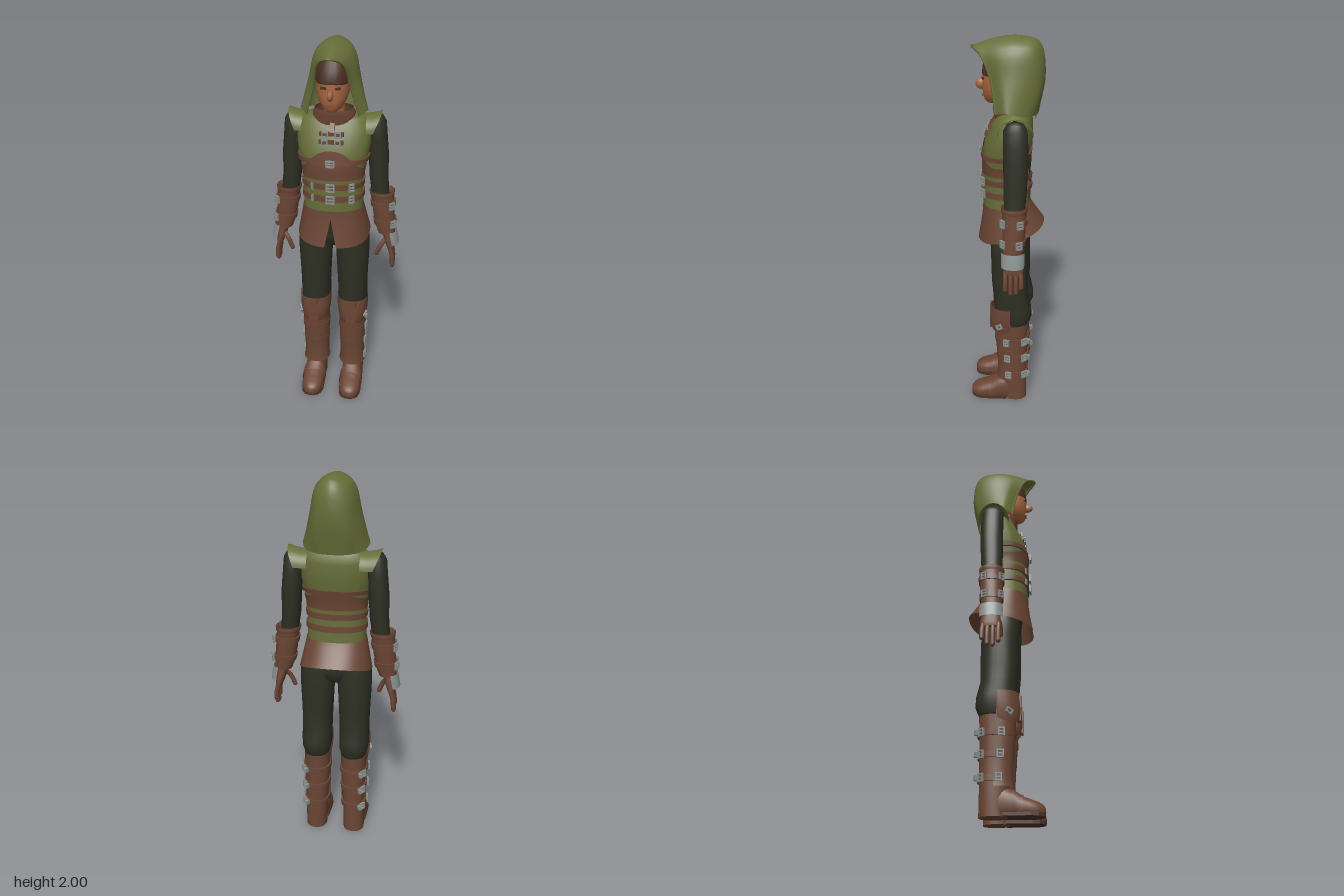
import * as THREE from 'three';

const mat = (name, color) => {
  const m = new THREE.MeshStandardMaterial({ color, side: THREE.DoubleSide });
  m.name = name;
  return m;
};
const V = (x, y, z) => new THREE.Vector3(x, y, z);
const TAU = Math.PI * 2;

// smooth surface through rows of points; wrap joins each row into a ring
function grid(rows, wrap) {
  const n = rows[0].length, pos = [], idx = [];
  rows.forEach(r => r.forEach(p => pos.push(p.x, p.y, p.z)));
  for (let i = 0; i < rows.length - 1; i++)
    for (let j = 0; j < (wrap ? n : n - 1); j++) {
      const k = (j + 1) % n, a = i * n + j, b = i * n + k, c = a + n, d = b + n;
      idx.push(a, c, b, b, c, d);
    }
  const g = new THREE.BufferGeometry();
  g.setAttribute('position', new THREE.Float32BufferAttribute(pos, 3));
  g.setIndex(idx);
  g.computeVertexNormals();
  return g;
}

// sections are [y, cx, cz, rx, rz]; angle 0 faces +z, a quarter turn faces +x
const sq = v => Math.sign(v) * Math.pow(Math.abs(v), 0.86);
const onRing = ([y, cx, cz, rx, rz], a, o = 0) =>
  V(cx + (rx + o) * sq(Math.sin(a)), y, cz + (rz + o) * sq(Math.cos(a)));
const ring = (s, o = 0, a0 = 0, a1 = TAU, n = 28) => {
  const full = a1 - a0 > 6.28;
  return Array.from({ length: full ? n : n + 1 }, (_, i) => onRing(s, a0 + (a1 - a0) * i / n, o));
};
const capRows = (s, o = 0) => [ring(s, o), ring(s, o).map(() => V(s[1], s[0], s[2]))];
const loft = (secs, endCap) => grid([...secs.map(s => ring(s)), ...(endCap ? capRows(secs.at(-1)) : [])], true);
const shell = (secs, a0, a1, o = 0) => grid(secs.map(s => ring(s, o, a0, a1)), false);
// section at height y, sections listed from top to bottom
function at(secs, y) {
  let i = 0;
  while (i < secs.length - 2 && secs[i + 1][0] > y) i++;
  const t = (y - secs[i][0]) / (secs[i + 1][0] - secs[i][0]);
  return secs[i].map((v, k) => v + (secs[i + 1][k] - v) * t);
}
// raised strap round a loft
function strap(secs, y, h, o) {
  const r = (dy, off) => ring(at(secs, y + dy), off);
  return grid([r(h / 2, 0), r(h / 2, o), r(h / 2, o), r(-h / 2, o), r(-h / 2, o), r(-h / 2, 0)], true);
}
// rectangular buckle frame
function frame(w, h, t = 0.007) {
  const rect = (C, a, b) => new C([V(-a, -b), V(a, -b), V(a, b), V(-a, b)].map(p => new THREE.Vector2(p.x, p.y)));
  const s = rect(THREE.Shape, w / 2, h / 2);
  s.holes.push(rect(THREE.Path, w / 2 - t, h / 2 - t));
  return new THREE.ExtrudeGeometry(s, { depth: 0.01, bevelEnabled: false });
}

export function createModel() {
  const green = mat('green cloth', 0x666d38), brown = mat('brown leather', 0x6a4534),
    dark = mat('dark cloth', 0x2d2f23), steel = mat('steel', 0x87918f), skin = mat('skin', 0xa5643f),
    hairM = mat('hair', 0x4a2f24), sole = mat('dark leather', 0x4d3226), lipM = mat('lips', 0x8a4a38);
  const root = new THREE.Group();
  const add = (name, geo, m, parent = root) => {
    const o = new THREE.Mesh(geo, m);
    o.name = name;
    parent.add(o);
    return o;
  };
  const put = (o, x, y, z, ry = 0, rz = 0) => { o.position.set(x, y, z); o.rotation.set(0, ry, rz); return o; };
  const buckle = (secs, y, a, w, h, o, parent = root) => {
    const p = onRing(at(secs, y), a, o);
    put(add('buckle', frame(w, h), steel, parent), p.x, p.y, p.z, a);
    const prong = add('bucklePin', new THREE.BoxGeometry(w * 0.9, 0.006, 0.008), steel, parent);
    put(prong, p.x + Math.sin(a) * 0.006, p.y, p.z + Math.cos(a) * 0.006, a);
  };

  // vest
  const torso = [[1.65, 0, -0.03, 0.095, 0.065], [1.625, 0, -0.03, 0.16, 0.085], [1.58, 0, -0.025, 0.187, 0.1],
    [1.5, 0, -0.005, 0.184, 0.12], [1.42, 0, 0.008, 0.17, 0.119], [1.36, 0, 0.013, 0.155, 0.113],
    [1.28, 0, 0.012, 0.15, 0.112], [1.2, 0, 0.01, 0.152, 0.115], [1.14, 0, 0.008, 0.155, 0.118]];
  add('vest', loft(torso, true), green);

  // brown corset, peaked at the front
  const corset = [0, 0.34, 0.67, 1].map(t => Array.from({ length: 48 }, (_, i) => {
    const a = TAU * i / 48, c = Math.cos(a);
    const top = c > 0 ? 1.385 + 0.105 * c ** 4 : 1.385 + 0.04 * c * c;
    return onRing(at(torso, top + (1.335 - top) * t), a, 0.005);
  }));
  add('corset', grid(corset, true), brown);
  for (const y of [1.3, 1.235]) {
    add('belt', strap(torso, y, 0.03, 0.009), brown);
    for (const a of [0, 0.62]) buckle(torso, y, a, a ? 0.03 : 0.045, 0.042, 0.01);
    const p = onRing(at(torso, y), -0.55, 0.012);
    put(add('beltStud', new THREE.BoxGeometry(0.012, 0.034, 0.008), steel), p.x, p.y, p.z, -0.55);
  }
  add('corsetStrap', strap(torso, 1.43, 0.024, 0.009), brown).scale.set(1, 1, 1);
  buckle(torso, 1.43, 0, 0.045, 0.036, 0.012);
  // chest clasp and collar placket
  for (const y of [1.565, 1.53]) {
    const z = onRing(at(torso, y), 0, 0.006).z;
    put(add('chestStrap', new THREE.BoxGeometry(0.12, 0.018, 0.02), brown), 0, y, z - 0.004);
    for (const s of [-1, 1]) put(add('chestBuckle', frame(0.032, 0.032), steel), 0.032 * s, y, z + 0.004);
  }
  put(add('placket', new THREE.BoxGeometry(0.022, 0.09, 0.012), brown), 0, 1.61, 0.064).rotation.x = -0.5;

  // leather skirt, split at the front
  const skirt = Array.from({ length: 6 }, (_, i) => {
    const t = i / 5, gap = 0.16 * Math.max(0, t - 0.25);
    return Array.from({ length: 49 }, (_, j) => {
      const a = gap + (TAU - 2 * gap) * j / 48, k = (1 - Math.cos(a)) / 2;
      const end = 0.968 + 0.085 * k ** 1.5;
      return onRing([1.165 + (end - 1.165) * t, 0, 0.008 - 0.026 * t, 0.156 + 0.034 * t, 0.119 + 0.053 * t ** 1.2], a);
    });
  });
  add('skirt', grid(skirt, false), brown);

  // trouser seat
  add('trouserSeat', loft([[1.13, 0, 0, 0.145, 0.105], [1.0, 0, -0.012, 0.15, 0.1], [0.95, 0, -0.015, 0.09, 0.085],
    [0.92, 0, -0.015, 0.03, 0.05]], true), dark);

  // head
  add('neck', loft([[1.72, 0, 0, 0.05, 0.055], [1.6, 0, -0.02, 0.055, 0.055]]), skin);
  add('collar', loft([[1.675, 0, 0, 0.095, 0.072], [1.65, 0, -0.005, 0.105, 0.078], [1.6, 0, -0.015, 0.11, 0.08]]), brown);
  add('face', loft([[1.84, 0, 0.018, 0.078, 0.106], [1.8, 0, 0.022, 0.08, 0.103], [1.76, 0, 0.028, 0.078, 0.098],
    [1.725, 0, 0.035, 0.066, 0.088], [1.695, 0, 0.045, 0.047, 0.07], [1.678, 0, 0.055, 0.025, 0.045]], true), skin);
  add('hair', loft([[1.955, 0, -0.01, 0.01, 0.015], [1.945, 0, -0.005, 0.04, 0.055], [1.92, 0, 0.005, 0.066, 0.09],
    [1.88, 0, 0.012, 0.081, 0.108], [1.825, 0, 0.014, 0.085, 0.113], [1.815, 0, 0.014, 0.082, 0.109]]), hairM);
  const nose = add('nose', new THREE.SphereGeometry(1, 14, 10), skin);
  nose.scale.set(0.015, 0.026, 0.028);
  put(nose, 0, 1.768, 0.133).rotation.x = -0.35;
  put(add('mouth', new THREE.BoxGeometry(0.042, 0.009, 0.008), lipM), 0, 1.716, 0.121);
  for (const s of [-1, 1]) put(add('eye', new THREE.BoxGeometry(0.028, 0.011, 0.008), hairM), 0.034 * s, 1.801, 0.119, 0.3 * s);

  // hood: guide rows from the rim to the nape, each from crest down to hem
  const guides = [
    [[0, 1.95, 0.176], [0.06, 1.915, 0.125], [0.088, 1.8, 0.075], [0.13, 1.65, 0.05]],
    [[0, 1.992, 0.05], [0.08, 1.945, 0.04], [0.12, 1.81, 0.025], [0.166, 1.665, 0.0]],
    [[0, 2.0, -0.06], [0.085, 1.955, -0.05], [0.126, 1.81, -0.045], [0.158, 1.65, -0.05]],
    [[0, 1.975, -0.15], [0.07, 1.935, -0.135], [0.108, 1.8, -0.115], [0.13, 1.64, -0.1]],
    [[0, 1.83, -0.182], [0.05, 1.81, -0.172], [0.085, 1.74, -0.15], [0.1, 1.637, -0.122]],
    [[0, 1.635, -0.152], [0.025, 1.635, -0.15], [0.05, 1.635, -0.146], [0.075, 1.635, -0.137]],
  ].map(half => {
    const r = half.map(p => V(...p)), l = r.slice(1).map(p => V(-p.x, p.y, p.z)).reverse();
    return new THREE.CatmullRomCurve3([...l, ...r]).getPoints(30);
  });
  const cols = guides[0].map((_, j) => new THREE.CatmullRomCurve3(guides.map(g => g[j])).getPoints(25));
  add('hood', grid(cols, false), green);
  add('hoodRim', new THREE.TubeGeometry(new THREE.CatmullRomCurve3(guides[0]), 50, 0.006, 6), green);

  // limbs: built for the left, mirrored for the right
  const left = new THREE.Group();
  left.name = 'leftLimbs';

  // shoulder wing
  const wing = [0, 0.35, 0.7, 1].map(t => Array.from({ length: 17 }, (_, i) => {
    const f = -1.5 + 3 * i / 16, c = Math.cos(f);
    return V(0.13 + t * (0.062 + 0.043 * c), 1.55 + (0.08 + 0.02 * t * t) * c, -0.048 + 0.086 * Math.sin(f));
  }));
  add('shoulderWing', grid(wing, false), green, left);

  // sleeve and gauntlet
  add('sleeve', loft([[1.635, 0.2, -0.05, 0.01, 0.015], [1.625, 0.205, -0.05, 0.032, 0.042], [1.595, 0.21, -0.05, 0.045, 0.058],
    [1.52, 0.214, -0.053, 0.048, 0.06], [1.42, 0.221, -0.054, 0.051, 0.06], [1.3, 0.226, -0.052, 0.048, 0.057],
    [1.18, 0.24, -0.05, 0.044, 0.05]]), dark, left);
  const cuff = [[1.2, 0.247, -0.05, 0.058, 0.06], [1.1, 0.258, -0.049, 0.056, 0.057], [1.02, 0.27, -0.047, 0.051, 0.052],
    [0.985, 0.277, -0.046, 0.045, 0.05]];
  add('gauntlet', loft([[1.2, 0.245, -0.05, 0.045, 0.05], [1.228, 0.244, -0.05, 0.06, 0.06],
    [1.222, 0.245, -0.05, 0.066, 0.065], [1.2, 0.247, -0.05, 0.062, 0.063], ...cuff], true), brown, left);
  for (const y of [1.155, 1.05]) {
    add('gauntletStrap', strap(cuff, y, 0.03, 0.007), brown, left);
    for (const a of [0.75, 2.0]) buckle(cuff, y, a, 0.032, 0.04, 0.008, left);
  }
  const guard = [[1.0, 0.28, -0.047, 0.045, 0.055], [0.965, 0.287, -0.047, 0.046, 0.056], [0.925, 0.296, -0.047, 0.044, 0.055]];
  add('handGuard', shell(guard, 0.25, Math.PI - 0.25, 0.004), steel, left);
  // hand
  add('palm', loft([[1.0, 0.28, -0.046, 0.03, 0.04], [0.95, 0.288, -0.047, 0.026, 0.047], [0.9, 0.3, -0.05, 0.02, 0.05],
    [0.88, 0.303, -0.05, 0.014, 0.046]], true), brown, left);
  const finger = (name, pts, r) => {
    const curve = new THREE.CatmullRomCurve3(pts);
    add(name, new THREE.TubeGeometry(curve, 8, r, 8), brown, left);
    add(name + 'Tip', new THREE.SphereGeometry(r, 8, 6), brown, left).position.copy(pts.at(-1));
  };
  [[-0.09, 0.815], [-0.064, 0.785], [-0.037, 0.78], [-0.01, 0.8]].forEach(([z, y]) =>
    finger('finger', [V(0.3, 0.9, z * 0.95), V(0.312, 0.85, z), V(0.315, y, z)], 0.012));
  finger('thumb', [V(0.28, 0.955, -0.025), V(0.25, 0.915, -0.008), V(0.23, 0.868, -0.005)], 0.013);

  // trouser leg
  add('trouserLeg', loft([[1.1, 0.085, -0.01, 0.075, 0.09], [1.0, 0.097, -0.014, 0.09, 0.098], [0.9, 0.1, -0.016, 0.09, 0.097],
    [0.75, 0.101, -0.019, 0.083, 0.097], [0.66, 0.102, -0.022, 0.08, 0.092], [0.58, 0.103, -0.034, 0.081, 0.1],
    [0.53, 0.103, -0.037, 0.079, 0.1], [0.485, 0.102, -0.035, 0.068, 0.083]], true), dark, left);

  // boot
  const boot = [[0.48, 0.104, -0.03, 0.07, 0.088], [0.4, 0.103, -0.03, 0.068, 0.085], [0.3, 0.103, -0.034, 0.064, 0.08],
    [0.2, 0.104, -0.039, 0.061, 0.075], [0.12, 0.107, -0.043, 0.06, 0.07], [0.03, 0.108, -0.046, 0.058, 0.068],
    [0, 0.108, -0.046, 0.058, 0.068]];
  add('bootShaft', loft(boot, true), brown, left);
  add('shinPlate', shell([[0.5, 0.104, -0.025, 0.072, 0.086], [0.4, 0.103, -0.028, 0.071, 0.086], [0.28, 0.103, -0.033, 0.067, 0.081],
    [0.18, 0.104, -0.036, 0.066, 0.079], [0.135, 0.104, -0.036, 0.072, 0.086]], -1.6, 1.6, 0.003), brown, left);
  add('kneeGuard', shell([[0.595, 0.104, -0.02, 0.084, 0.098], [0.54, 0.104, -0.02, 0.085, 0.106],
    [0.49, 0.104, -0.022, 0.08, 0.112], [0.445, 0.104, -0.022, 0.072, 0.098]], -1.6, 1.6), brown, left);
  put(add('kneeRidge', new THREE.BoxGeometry(0.05, 0.14, 0.008), brown, left), 0.104, 0.525, 0.084);
  const kb = put(add('kneeBuckle', frame(0.035, 0.028), steel, left), 0.178, 0.49, 0.032, 1.05);
  kb.rotation.z = 0.5;
  for (const y of [0.39, 0.285, 0.175]) {
    add('bootStrap', strap(boot, y, 0.028, 0.009), brown, left);
    buckle(boot, y, 1.35, 0.034, 0.04, 0.01, left);
    buckle(boot, y, 2.3, 0.034, 0.04, 0.01, left);
    const p = onRing(at(boot, y), 2.6, 0.014);
    put(add('strapTail', new THREE.BoxGeometry(0.018, 0.024, 0.034), steel, left), p.x, p.y, p.z, 2.6);
  }
  // foot: cross-sections [z, half width, top] from ankle to toe
  const foot = [[-0.05, 0.055, 0.15], [0.0, 0.057, 0.145], [0.04, 0.058, 0.128], [0.08, 0.06, 0.1], [0.13, 0.06, 0.082],
    [0.165, 0.052, 0.07], [0.187, 0.036, 0.056], [0.196, 0.015, 0.042]];
  const footRing = ([z, w, h], o = 0) => Array.from({ length: 24 }, (_, i) => {
    const a = TAU * i / 24;
    return V(0.108 + (w + o) * sq(Math.cos(a)), Math.max(0.004, h * 0.42 + (h * 0.58 + o) * sq(Math.sin(a))), z);
  });
  add('foot', grid([...foot.map(s => footRing(s)), footRing(foot.at(-1)).map(() => V(0.108, 0.022, 0.198))], true), brown, left);
  add('instepStrap', grid([[0.045, 0.058, 0.125], [0.08, 0.06, 0.1], [0.095, 0.06, 0.095]].map(s => footRing(s, 0.006)), true), brown, left);
  const outline = foot.slice(1).map(([z, w]) => [w + 0.002, z]);
  const soleShape = new THREE.Shape([...outline, ...outline.map(([x, z]) => [-x, z]).reverse()].map(p => new THREE.Vector2(...p)));
  const soleGeo = new THREE.ExtrudeGeometry(soleShape, { depth: 0.016, bevelEnabled: false });
  soleGeo.rotateX(Math.PI / 2);
  put(add('sole', soleGeo, sole, left), 0.108, 0.017, 0);

  const right = left.clone();
  right.name = 'rightLimbs';
  right.scale.x = -1;
  root.add(left, right);
  return root;
}
